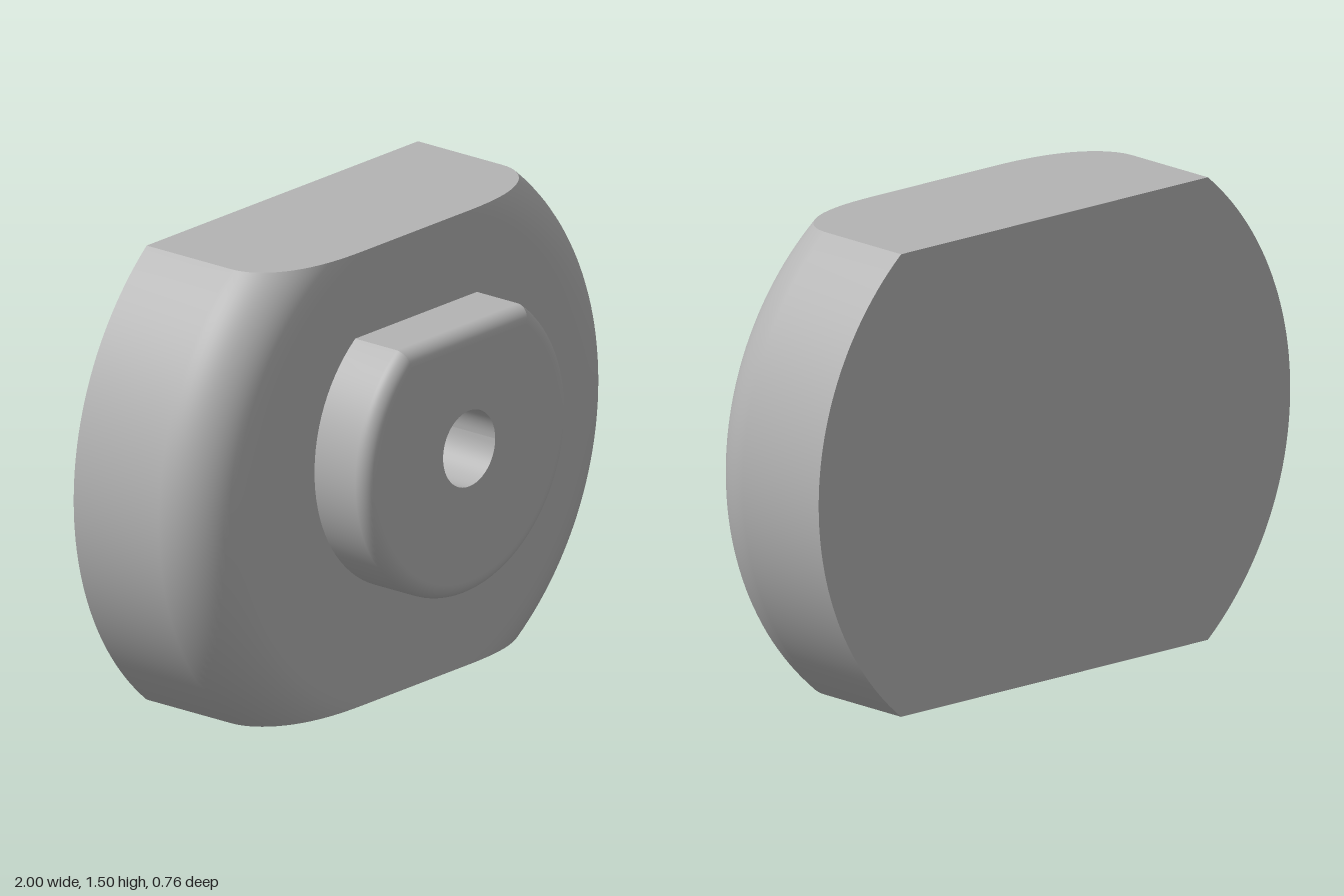
import * as THREE from 'three';

const grey = new THREE.MeshStandardMaterial({ color: 0xb4b4b4 });
grey.name = 'plain grey';

// Points on an arc, from angle a0 to a1; sy squashes it vertically
function arc(r, a0, a1, n, sy = 1) {
  return Array.from({ length: n + 1 }, (_, i) => {
    const a = a0 + (a1 - a0) * i / n;
    return new THREE.Vector2(r * Math.cos(a), r * sy * Math.sin(a));
  });
}

// Skin through rings of { z, points }, with counter-clockwise points and rising z
function loft(rings) {
  const n = rings[0].points.length;
  const pos = [], index = [];
  rings.forEach(({ z, points }) => points.forEach(p => pos.push(p.x, p.y, z)));
  for (let j = 0; j < rings.length - 1; j++) {
    for (let i = 0; i < n - 1; i++) {
      const a = j * n + i, b = a + 1, c = a + n, d = c + 1;
      index.push(a, b, d, a, d, c);
    }
  }
  const g = new THREE.BufferGeometry();
  g.setAttribute('position', new THREE.Float32BufferAttribute(pos, 3));
  g.setIndex(index);
  g.computeVertexNormals();
  return g;
}

// Levels of a straight wall ending in a rounded front edge
function roundedLevels(back, front, radius, steps = 12) {
  const levels = [{ z: back, inset: 0 }];
  for (let i = 0; i <= steps; i++) {
    const t = i / steps * Math.PI / 2;
    levels.push({ z: front - radius + radius * Math.sin(t), inset: radius * (1 - Math.cos(t)) });
  }
  return levels;
}

// Solid whose outline is a list of separate edges, keeping the corners between them sharp
function solid(name, levels, outline, { hole, backFace }) {
  const group = new THREE.Group();
  group.name = name;
  const add = (part, geometry) => {
    const mesh = new THREE.Mesh(geometry, grey);
    mesh.name = part;
    group.add(mesh);
    return mesh;
  };
  const rings = levels.map(l => ({ z: l.z, edges: outline(l.inset) }));
  rings[0].edges.forEach((_, k) =>
    add(name + 'Wall' + (k + 1), loft(rings.map(r => ({ z: r.z, points: r.edges[k] })))));

  const last = rings[rings.length - 1];
  const face = new THREE.Shape(last.edges.flatMap(e => e.slice(0, -1)));
  if (hole) face.holes.push(new THREE.Path(hole));
  add(name + 'Front', new THREE.ShapeGeometry(face)).position.z = last.z;

  if (backFace) {
    const shape = new THREE.Shape(rings[0].edges.flatMap(e => e.slice(0, -1)));
    const back = add(name + 'Back', new THREE.ShapeGeometry(shape));
    back.rotation.y = Math.PI;
    back.position.z = rings[0].z;
  }
  return group;
}

export function createModel() {
  const model = new THREE.Group();
  const BACK = -0.382, FACE = 0.165, FRONT = 0.382;

  // Wide round body, cut flat at the top and bottom
  const half = 0.7475, squash = 0.984;
  const bodyOutline = inset => {
    const r = 1 - inset;
    const a = Math.asin(half / (r * squash));
    const right = arc(r, -a, a, 48, squash);
    const left = arc(r, Math.PI - a, Math.PI + a, 48, squash);
    return [right, [right[48], left[0]], left, [left[48], right[0]]];
  };
  const body = solid('body', roundedLevels(BACK, FACE, 0.2, 16), bodyOutline, { backFace: true });
  body.position.y = half;
  model.add(body);

  // Round boss with one flat on top and a bore through to the body
  const bore = arc(0.125, Math.PI * 2, 0, 48);
  const bossOutline = inset => {
    const r = 0.487 - inset;
    const a = Math.asin((0.39 - inset) / r);
    const round = arc(r, Math.PI - a, Math.PI * 2 + a, 72);
    return [round, [round[72], round[0]]];
  };
  const boss = solid('boss', roundedLevels(FACE, FRONT, 0.05), bossOutline, { hole: bore.slice(0, -1) });
  const boreWall = new THREE.Mesh(
    loft([{ z: FACE, points: bore }, { z: FRONT, points: bore }]), grey);
  boreWall.name = 'boreWall';
  boss.add(boreWall);
  boss.position.y = 0.827;
  model.add(boss);

  return model;
}
